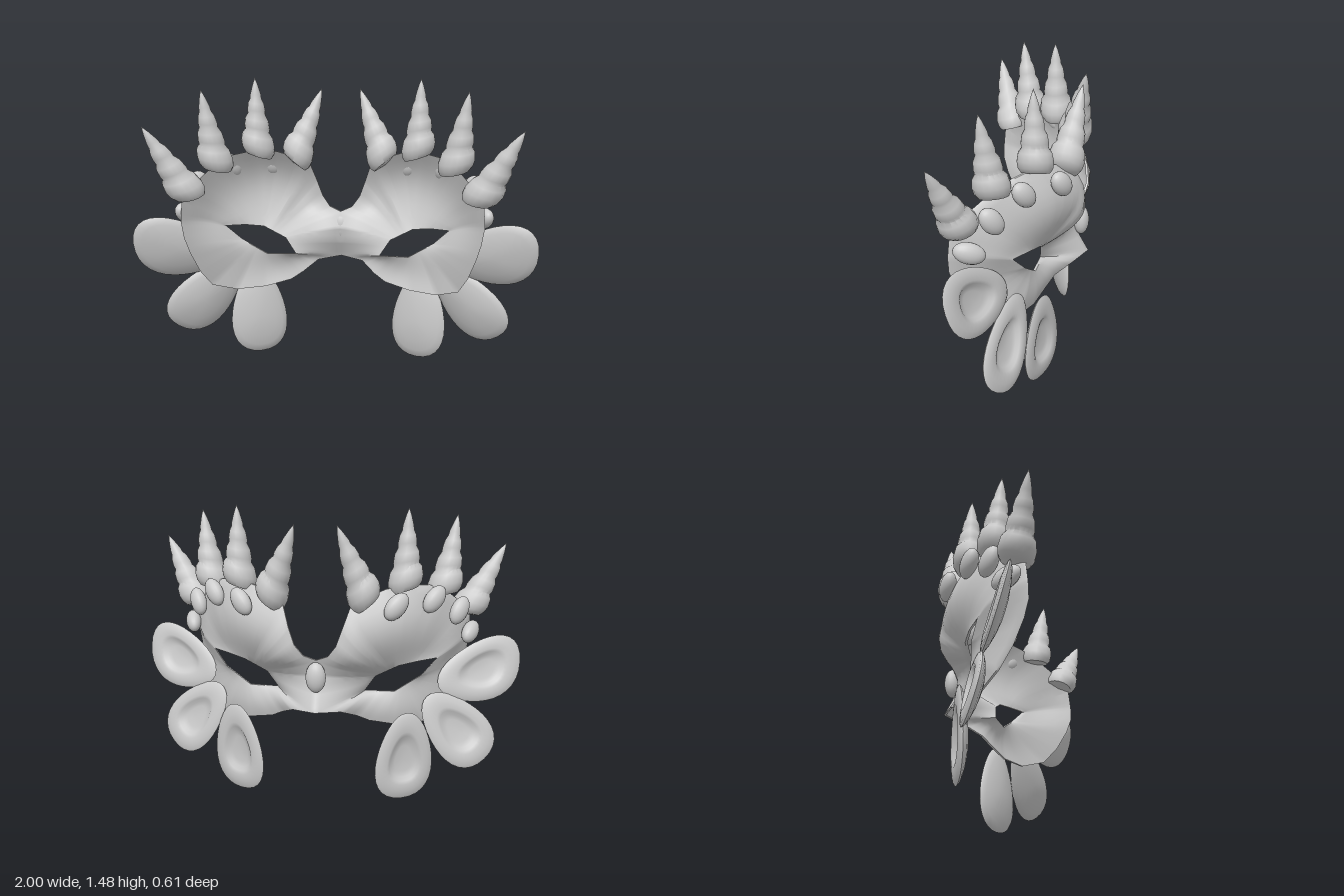
import * as THREE from 'three';
import { ParametricGeometry } from 'three/addons/geometries/ParametricGeometry.js';
import { mergeGeometries, toCreasedNormals } from 'three/addons/utils/BufferGeometryUtils.js';

const V = (a) => new THREE.Vector3(...a);
const material = new THREE.MeshStandardMaterial({ color: 0xcccccc });

// Half of the mask: outer edge and eye opening, counter-clockwise from the cheek
const EDGE = [
  [0.722, 0.72, 0.25], [0.735, 0.80, 0.25], [0.73, 0.9, 0.24], [0.67, 0.99, 0.17], [0.6, 1.06, 0.08], [0.52, 1.1, 0],
  [0.42, 1.115, -0.08], [0.32, 1.1, -0.14], [0.22, 1.06, -0.2], [0.165, 1.035, -0.23],
  [0.13, 0.93, -0.275], [0.1, 0.845, -0.285], [0.06, 0.79, -0.27], [0, 0.765, -0.255],
  [0, 0.68, -0.23], [0, 0.6, -0.25], [0, 0.51, -0.3], [0.12, 0.5, -0.235], [0.19, 0.455, -0.15],
  [0.25, 0.42, -0.115], [0.38, 0.39, -0.07], [0.52, 0.39, 0], [0.625, 0.44, 0.1], [0.668, 0.53, 0.17], [0.702, 0.64, 0.225],
];
const EYE = [
  [0.5, 0.65, -0.045], [0.575, 0.73, 0], [0.48, 0.725, -0.06], [0.39, 0.71, -0.1],
  [0.275, 0.65, -0.1], [0.22, 0.567, -0.09], [0.37, 0.567, -0.075],
];

// Turns a closed loop of points into a function of the angle round the eye
function loopByAngle(points) {
  const list = points.map((p) => {
    const a = Math.atan2(p[1] - 0.64, p[0] - 0.4);
    return { a: a < 0 ? a + 2 * Math.PI : a, p: V(p) };
  }).sort((m, n) => m.a - n.a);
  const first = list[0], last = list[list.length - 1];
  const all = [{ a: last.a - 2 * Math.PI, p: last.p }, ...list, { a: first.a + 2 * Math.PI, p: first.p }];
  const at = (a) => {
    let i = 0;
    while (i < all.length - 2 && all[i + 1].a < a) i++;
    const s = all[i], e = all[i + 1];
    return s.p.clone().lerp(e.p, (a - s.a) / (e.a - s.a));
  };
  return { at, angles: list.map((q) => q.a) };
}

// Thin curved shell between the eye and the edge, with a bulging brow
function maskGeometry() {
  const eye = loopByAngle(EYE), edge = loopByAngle(EDGE);
  const angles = [...eye.angles, ...edge.angles];
  for (let i = 0; i <= 48; i++) angles.push((i / 48) * 2 * Math.PI);
  angles.sort((a, b) => a - b);
  const rings = 10, rows = 2 * rings + 2;
  const half = new ParametricGeometry((u, v, target) => {
    const a = angles[Math.round(u * (angles.length - 1))];
    const row = Math.round(v * rows) % rows;
    const inner = row > rings;
    const t = (inner ? rows - 1 - row : row) / rings;
    target.copy(eye.at(a)).lerp(edge.at(a), t);
    const up = Math.max(0, Math.sin(a)) * (1 - 0.25 * Math.cos(a));
    target.z -= (0.015 + 0.07 * up) * Math.sin(Math.PI * Math.pow(t, 1.1));
    if (inner) target.z += 0.012;
  }, angles.length - 1, rows);
  const other = half.clone().scale(-1, 1, 1);
  other.index.array.reverse();
  return toCreasedNormals(mergeGeometries([half, other]), 0.9);
}

// Rounded shell: dished on its outward face, domed on the other
function petalGeometry(root, tip, halfWidth) {
  const R = V(root), L = V(tip).sub(R), W = V(halfWidth);
  const N = L.clone().cross(W).normalize();
  // Ring scale and height, from the dish centre over the rim to the dome
  const rings = [[0, -0.01], [0.3, -0.01], [0.44, -0.004], [0.53, 0.01], [0.62, 0.016], [0.8, 0.012],
    [0.94, 0.007], [1, 0], [0.95, -0.01], [0.8, -0.022], [0.55, -0.034], [0.28, -0.042], [0, -0.044]];
  const g = new ParametricGeometry((u, v, target) => {
    const a = u * 2 * Math.PI;
    const [k, h] = rings[Math.round(v * (rings.length - 1))];
    const along = 0.55 + k * (0.5 - 0.5 * Math.cos(a) - 0.55);
    const s = Math.sin(a - 0.28 * Math.sin(a));
    const across = k * Math.sign(s) * Math.pow(Math.abs(s), 0.9);
    target.copy(R).addScaledVector(L, along).addScaledVector(W, across).addScaledVector(N, h);
  }, 32, rings.length - 1);
  return toCreasedNormals(g, 1);
}

// Stepped spiral spike with slanted whorls, one unit tall
function spikeGeometry() {
  const profile = [[0, -0.02], [0.17, 0], [0.205, 0.06], [0.215, 0.14], [0.195, 0.25], [0.155, 0.31], [0.162, 0.36],
    [0.148, 0.46], [0.112, 0.53], [0.116, 0.58], [0.1, 0.67], [0.072, 0.73], [0.068, 0.78], [0.035, 0.9], [0, 1]];
  const g = new THREE.LatheGeometry(profile.map((p) => new THREE.Vector2(...p)), 18);
  const pos = g.attributes.position;
  for (let i = 0; i < pos.count; i++) {
    const y = pos.getY(i);
    pos.setY(i, y + 0.35 * pos.getX(i) * (1 - y));
  }
  return toCreasedNormals(g, 0.9);
}

export function createModel() {
  const model = new THREE.Group();
  model.name = 'mask';
  const add = (parent, name, geometry) => {
    const mesh = new THREE.Mesh(geometry, material);
    mesh.name = name;
    parent.add(mesh);
    return mesh;
  };

  add(model, 'maskShell', maskGeometry());

  const spike = spikeGeometry();
  const spikes = [
    [[0.7, 0.92, 0.2], [0.9, 1.27, 0.3]],
    [[0.59, 1.04, 0.08], [0.65, 1.435, 0.13]],
    [[0.41, 1.09, -0.08], [0.42, 1.485, -0.07]],
    [[0.24, 1.04, -0.19], [0.1, 1.42, -0.26]],
  ];
  const petals = [
    [[0.58, 0.6, 0.03], [0.998, 0.67, 0.215], [0, -0.16, -0.04]],
    [[0.53, 0.53, -0.02], [0.835, 0.185, 0.035], [-0.105, -0.09, -0.07]],
    [[0.44, 0.47, -0.115], [0.42, 0.005, -0.115], [-0.14, 0, -0.06]],
  ];
  // Bead centre, turn to face outward, and lean within that face
  const bead = new THREE.SphereGeometry(1, 18, 12);
  const beads = [
    [[0.735, 0.83, 0.165], -1.2, -1.2],
    [[0.675, 0.96, 0.075], -0.9, -0.65],
    [[0.552, 1.04, -0.048], -0.7, -0.75],
    [[0.378, 1.03, -0.195], -0.55, -0.75],
  ];
  const addBead = (parent, name, centre, turn, lean) => {
    const mesh = add(parent, name, bead);
    mesh.scale.set(0.05, 0.076, 0.04);
    mesh.position.set(...centre);
    mesh.rotation.set(0, turn, lean, 'YXZ');
  };

  // Ornaments for each side, mirrored across the middle
  for (const side of [1, -1]) {
    const group = new THREE.Group();
    group.name = side > 0 ? 'leftOrnaments' : 'rightOrnaments';
    group.scale.x = side;
    model.add(group);
    for (const [base, tip] of spikes) {
      const axis = V(tip).sub(V(base));
      const mesh = add(group, 'spike', spike);
      mesh.scale.setScalar(axis.length());
      mesh.position.set(...base);
      mesh.quaternion.setFromUnitVectors(new THREE.Vector3(0, 1, 0), axis.normalize());
    }
    for (const p of petals) add(group, 'petal', petalGeometry(...p));
    for (const b of beads) addBead(group, 'bead', ...b);
  }
  addBead(model, 'bridgeBead', [0, 0.68, -0.26], 0, 0);
  return model;
}
